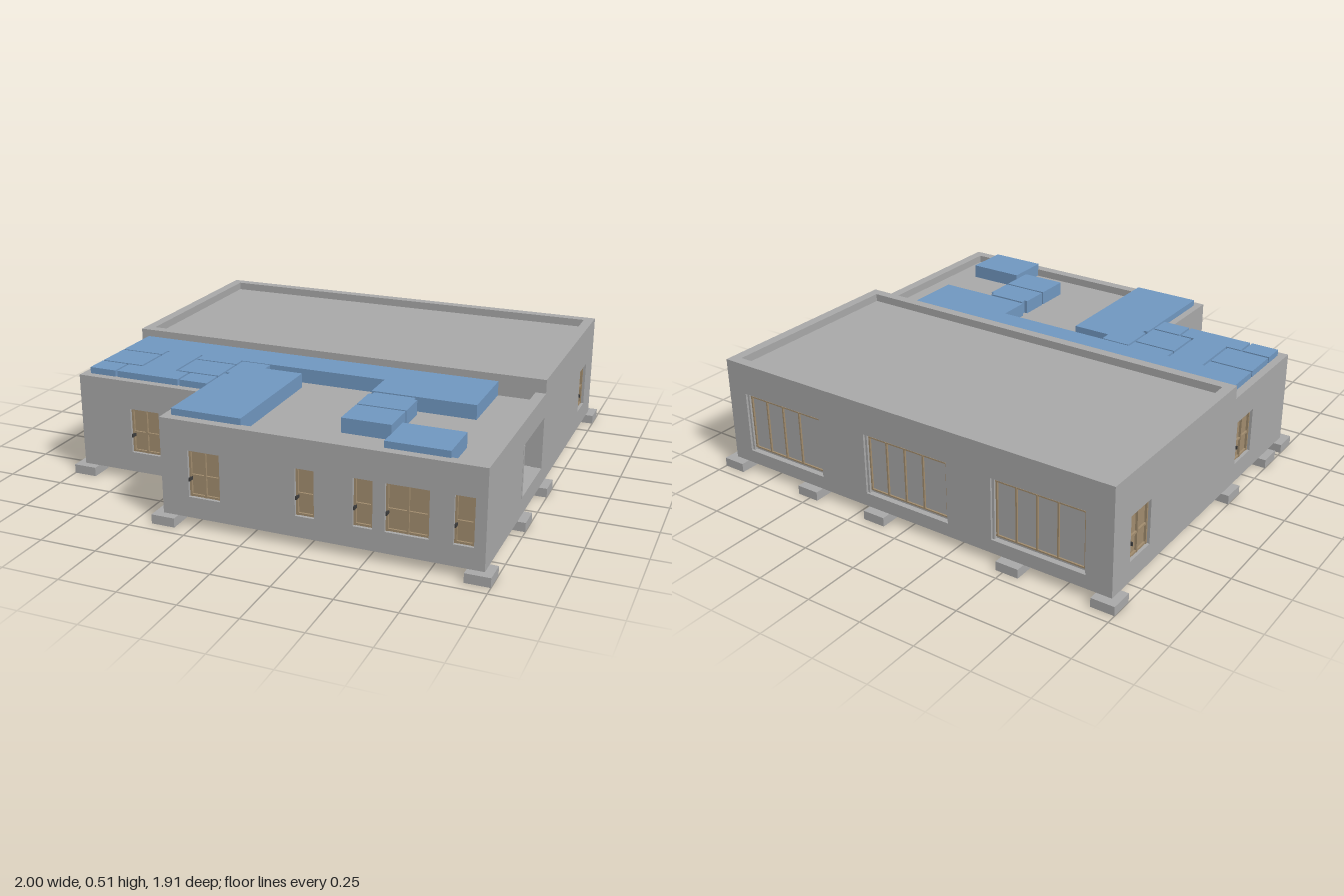
import * as THREE from 'three';

const flat = (name, color) => Object.assign(new THREE.MeshStandardMaterial({ color }), { name });

export function createModel() {
  const concrete = flat('concrete', 0xa8a8a8);
  const roomBlue = flat('room blue', 0x7097c0);
  const wood = flat('wood', 0xa18c6e);
  const dark = flat('dark metal', 0x3c3c3c);
  const model = new THREE.Group();
  model.name = 'building';
  const T = 0.045, BASE = 0.04, HIGH = 0.515, LOW = 0.455;

  // Box given by its extents
  function block(parent, name, mat, x0, x1, y0, y1, z0, z1) {
    const m = new THREE.Mesh(new THREE.BoxGeometry(x1 - x0, y1 - y0, z1 - z0), mat);
    m.position.set((x0 + x1) / 2, (y0 + y1) / 2, (z0 + z1) / 2);
    m.name = name;
    parent.add(m);
    return m;
  }

  // Timber leaves with raised rails, set back in the opening
  function woodWindow(g, [u0, u1, y0, y1]) {
    const z = -0.022, w = 0.009;
    block(g, 'windowLeaf', wood, u0, u1, y0, y1, z - 0.01, z);
    const n = u1 - u0 > 0.1 ? 2 : 1;
    for (let i = 0; i <= n; i++) {
      const u = u0 + (u1 - u0 - w) * i / n;
      block(g, 'windowStile', wood, u, u + w, y0, y1, z, z + 0.01);
    }
    for (const f of [0, 0.45, 1]) {
      const y = y0 + (y1 - y0 - w) * f;
      block(g, 'windowRail', wood, u0, u1, y, y + w, z, z + 0.008);
    }
    block(g, 'windowHandle', dark, u0 + 0.004, u0 + 0.01, 0.2, 0.215, z, 0.005);
  }

  // Wide glazed window with slender timber mullions
  function wideWindow(g, [u0, u1, y0, y1]) {
    const z = -0.025, w = 0.007;
    block(g, 'windowPane', concrete, u0, u1, y0, y1, z - 0.01, z);
    for (const f of [0.03, 0.24, 0.46, 0.68, 0.96]) {
      const u = u0 + (u1 - u0) * f;
      block(g, 'windowMullion', wood, u, u + w, y0 + 0.015, y1 - 0.015, z, z + 0.008);
    }
    for (const y of [y0 + 0.012, y1 - 0.02])
      block(g, 'windowRail', wood, u0, u1, y, y + 0.006, z, z + 0.007);
    for (const u of [u0, u1 - 0.01])
      block(g, 'windowFrame', concrete, u, u + 0.01, y0, y1, z, z + 0.015);
  }

  // Wall with openings; u runs along the wall, outer face at the given distance
  function facade(name, turn, dist, u0, u1, top, openings = []) {
    const shape = new THREE.Shape([[u0, BASE], [u1, BASE], [u1, top], [u0, top]]
      .map(p => new THREE.Vector2(...p)));
    const g = new THREE.Group();
    g.name = name;
    for (const { kind, r: [a, b, c, d] } of openings) {
      shape.holes.push(new THREE.Path([[a, c], [a, d], [b, d], [b, c]]
        .map(p => new THREE.Vector2(...p))));
      if (kind === 'wood') woodWindow(g, [a, b, c, d]);
      if (kind === 'wide') wideWindow(g, [a, b, c, d]);
    }
    const wall = new THREE.Mesh(
      new THREE.ExtrudeGeometry(shape, { depth: T, bevelEnabled: false }).translate(0, 0, -T), concrete);
    wall.name = 'wall';
    g.add(wall);
    const pivot = new THREE.Group();
    pivot.name = name + 'Side';
    g.position.z = dist;
    pivot.rotation.y = turn;
    pivot.add(g);
    model.add(pivot);
  }
  const timber = (a, b) => ({ kind: 'wood', r: [a, b, 0.13, 0.33] });
  const wide = (a, b) => ({ kind: 'wide', r: [a, b, 0.1, 0.375] });
  const Q = Math.PI / 2;

  // Outer walls
  facade('frontWall', 0, 0.915, -0.385, 0.965, LOW, [
    timber(-0.265, -0.125), timber(0.2, 0.28), timber(0.44, 0.52),
    timber(0.57, 0.745), timber(0.84, 0.92)]);
  facade('wingFrontWall', 0, 0.595, -0.965, -0.385, LOW, [timber(-0.72, -0.58)]);
  facade('middleWall', 0, 0.065, -0.965, 0.965, HIGH);
  facade('backWall', Math.PI, 0.915, -0.965, 0.965, HIGH,
    [wide(-0.87, -0.45), wide(-0.21, 0.21), wide(0.42, 0.85)]);
  facade('rightBackWall', Q, 0.965, -0.02, 0.87, HIGH, [timber(0.64, 0.77)]);
  facade('rightFrontWall', Q, 0.965, -0.87, -0.065, LOW,
    [{ kind: 'open', r: [-0.4, -0.07, 0.12, 0.35] }]);
  facade('leftBackWall', -Q, 0.965, -0.87, 0.02, HIGH, [timber(-0.79, -0.64)]);
  facade('leftFrontWall', -Q, 0.965, 0.065, 0.55, LOW, [timber(0.1, 0.25)]);
  facade('wingReturnWall', -Q, 0.385, 0.55, 0.87, LOW);

  // Recessed balcony behind the right opening
  facade('balconyWall', Q, 0.8, -0.41, -0.065, 0.41,
    [{ kind: 'wide', r: [-0.4, -0.07, 0.12, 0.345] }]);
  block(model, 'balconySideWall', concrete, 0.78, 0.93, BASE, 0.41, 0.4, 0.42);
  block(model, 'balconyFloor', concrete, 0.78, 0.93, 0.1, 0.12, 0.065, 0.41);
  block(model, 'balconyPost', concrete, 0.935, 0.966, 0.12, 0.35, 0.39, 0.408);

  // Roofs sunk behind the parapets, and floor slabs
  for (const [name, y0, y1, ybk] of [['roof', 0.395, 0.42, 0.48], ['floor', 0.075, 0.1, 0.1]]) {
    block(model, name + 'Back', concrete, -0.925, 0.925, ybk - 0.025, ybk, -0.875, 0.025);
    block(model, name + 'Front', concrete, -0.345, 0.925, y0, y1, 0.06, 0.875);
    block(model, name + 'Wing', concrete, -0.925, -0.345, y0, y1, 0.06, 0.555);
  }

  // Room volumes rising above the front roof: x0, x1, z0, z1
  const rooms = [
    [-0.93, 0.76, 0.065, 0.23], [-0.93, -0.735, 0.23, 0.283], [-0.93, -0.735, 0.292, 0.453],
    [-0.93, -0.805, 0.463, 0.56], [-0.725, -0.565, 0.23, 0.463], [-0.795, -0.5, 0.463, 0.56],
    [-0.555, -0.362, 0.23, 0.283], [-0.555, -0.362, 0.292, 0.453], [-0.49, -0.362, 0.463, 0.56],
    [-0.353, -0.22, 0.237, 0.288], [-0.353, -0.045, 0.288, 0.397], [-0.335, -0.045, 0.397, 0.415],
    [-0.353, -0.045, 0.415, 0.875],
    [0.31, 0.76, 0.23, 0.38], [0.325, 0.505, 0.393, 0.415], [0.31, 0.52, 0.415, 0.545],
    [0.31, 0.52, 0.555, 0.715], [0.55, 0.81, 0.675, 0.877]];
  for (const [x0, x1, z0, z1] of rooms)
    block(model, 'roomVolume', roomBlue, x0, x1, 0.4, 0.483, z0, z1);

  // Ground beams under the floor
  const beam = (x0, x1, z0, z1) => block(model, 'groundBeam', concrete, x0, x1, BASE, 0.08, z0, z1);
  for (const x of [-0.52, 0.145, 0.51]) beam(x - 0.022, x + 0.022, -0.88, 0.03);
  beam(-0.93, 0.93, 0.39, 0.43);
  beam(-0.39, -0.347, 0.06, 0.56);
  beam(0.75, 0.79, 0.06, 0.4);

  // Footing pads
  const pads = [];
  for (const x of [-0.948, -0.52, 0.145, 0.51, 0.948]) pads.push([x, -0.903], [x, 0.04]);
  pads.push([-0.948, 0.41], [-0.948, 0.578], [-0.37, 0.578], [-0.37, 0.41], [-0.37, 0.9],
    [0.948, 0.9], [0.948, 0.4], [0.77, 0.41], [0.77, 0.04]);
  for (const [x, z] of pads)
    block(model, 'footing', concrete, x - 0.052, x + 0.052, 0, BASE, z - 0.052, z + 0.052);

  return model;
}
